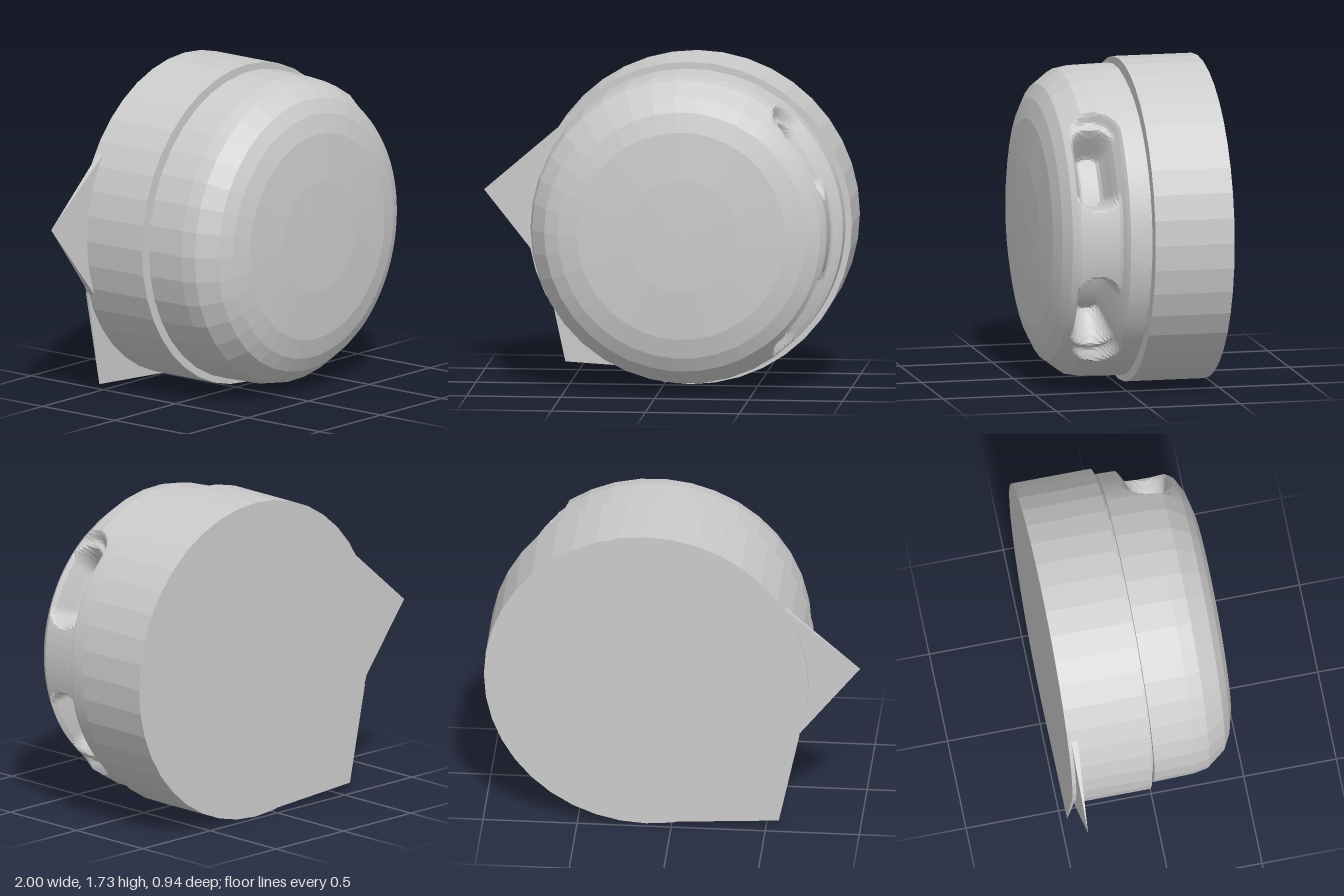
import * as THREE from 'three';
import { ConvexGeometry } from 'three/addons/geometries/ConvexGeometry.js';

const CX = 0.135, CY = 0.865; // axis of the round body
const material = new THREE.MeshStandardMaterial({ color: 0xcccccc, flatShading: true });

function add(group, name, geometry) {
  const mesh = new THREE.Mesh(geometry, material);
  mesh.name = name;
  group.add(mesh);
  return mesh;
}

// Round drum lying along z
function addDrum(group, name, radius, z0, z1) {
  const geometry = new THREE.CylinderGeometry(radius, radius, z1 - z0, 40);
  geometry.rotateX(Math.PI / 2);
  add(group, name, geometry).position.set(CX, CY, (z0 + z1) / 2);
}

// Thin wedge from a tip back to a two-point edge
function addSpike(group, name, tip, edge, zBack, zFront) {
  const points = [new THREE.Vector3(...tip)];
  for (const [x, y] of edge)
    for (const z of [zBack, zFront]) points.push(new THREE.Vector3(x, y, z));
  add(group, name, new ConvexGeometry(points));
}

// Radius of the cap, pressed inward by the finger slot on the +x side
const SLOT_ANGLE = 0.95;
function capRadius(theta, r, z) {
  const arc = Math.abs(theta) * 0.82;
  const half = SLOT_ANGLE * 0.82 - 0.15;
  const distance = Math.hypot(Math.max(0, arc - half), z - 0.235);
  const inside = 1 - THREE.MathUtils.smoothstep(distance, 0.11, 0.155);
  if (inside <= 0 || Math.abs(theta) > 1.2) return r;
  // Two deep pockets with a shallow bridge between them
  const pocketDistance = Math.hypot(Math.max(0, Math.abs(arc - 0.45) - 0.14), z - 0.235);
  const pocket = 1 - THREE.MathUtils.smoothstep(pocketDistance, 0.05, 0.12);
  const floor = 0.765 - 0.2 * pocket;
  return THREE.MathUtils.lerp(r, Math.min(r, floor), inside);
}

function capGeometry() {
  // Profile from back centre, around the rim, to front centre: [radius, z]
  const profile = [[0, -0.02], [0.83, -0.02], [0.828, 0.07], [0.825, 0.2], [0.81, 0.28],
    [0.735, 0.38], [0.66, 0.42], [0.555, 0.447], [0.3, 0.464], [0, 0.468]];
  const rows = [];
  profile.forEach(([r, z], i) => {
    rows.push([r, z]);
    const next = profile[i + 1];
    if (!next || z < 0.05 || z > 0.4) return;
    const steps = Math.ceil((next[1] - z) / 0.016);
    for (let k = 1; k < steps; k++)
      rows.push([THREE.MathUtils.lerp(r, next[0], k / steps), THREE.MathUtils.lerp(z, next[1], k / steps)]);
  });

  // Fine columns across the slot, coarse ones around the rest
  const columns = [];
  for (let i = 0; i <= 100; i++) columns.push(-SLOT_ANGLE + (2 * SLOT_ANGLE * i) / 100);
  for (let i = 1; i <= 26; i++)
    columns.push(SLOT_ANGLE + ((2 * Math.PI - 2 * SLOT_ANGLE) * i) / 26);

  const positions = [], index = [], n = columns.length;
  for (const [r, z] of rows)
    for (const theta of columns) {
      const radius = capRadius(theta, r, z);
      positions.push(CX + radius * Math.cos(theta), CY + radius * Math.sin(theta), z);
    }
  for (let j = 0; j < rows.length - 1; j++)
    for (let i = 0; i < n - 1; i++) {
      const a = j * n + i, b = a + 1, c = a + n, d = c + 1;
      if (rows[j][0] > 0) index.push(a, b, d);
      if (rows[j + 1][0] > 0) index.push(a, d, c);
      else index.push(a, b, c);
    }
  const geometry = new THREE.BufferGeometry();
  geometry.setAttribute('position', new THREE.Float32BufferAttribute(positions, 3));
  geometry.setIndex(index);
  geometry.computeVertexNormals();
  return geometry;
}

export function createModel() {
  const group = new THREE.Group();
  group.name = 'roundHousing';

  // Back drum and the narrow neck that joins it to the cap
  addDrum(group, 'backDrum', 0.863, -0.47, -0.04);
  addDrum(group, 'neck', 0.79, -0.05, -0.01);

  // Rounded front cap with the side slot
  add(group, 'frontCap', capGeometry());

  // Thin pointed tabs at the back edge
  addSpike(group, 'sideTab', [-1, 0.97, -0.44], [[-0.58, 1.33], [-0.67, 0.56]], -0.452, -0.415);
  addSpike(group, 'lowerTab', [-0.57, 0.05, -0.468], [[-0.68, 0.57], [0.2, 0.006]], -0.47, -0.455);

  return group;
}
